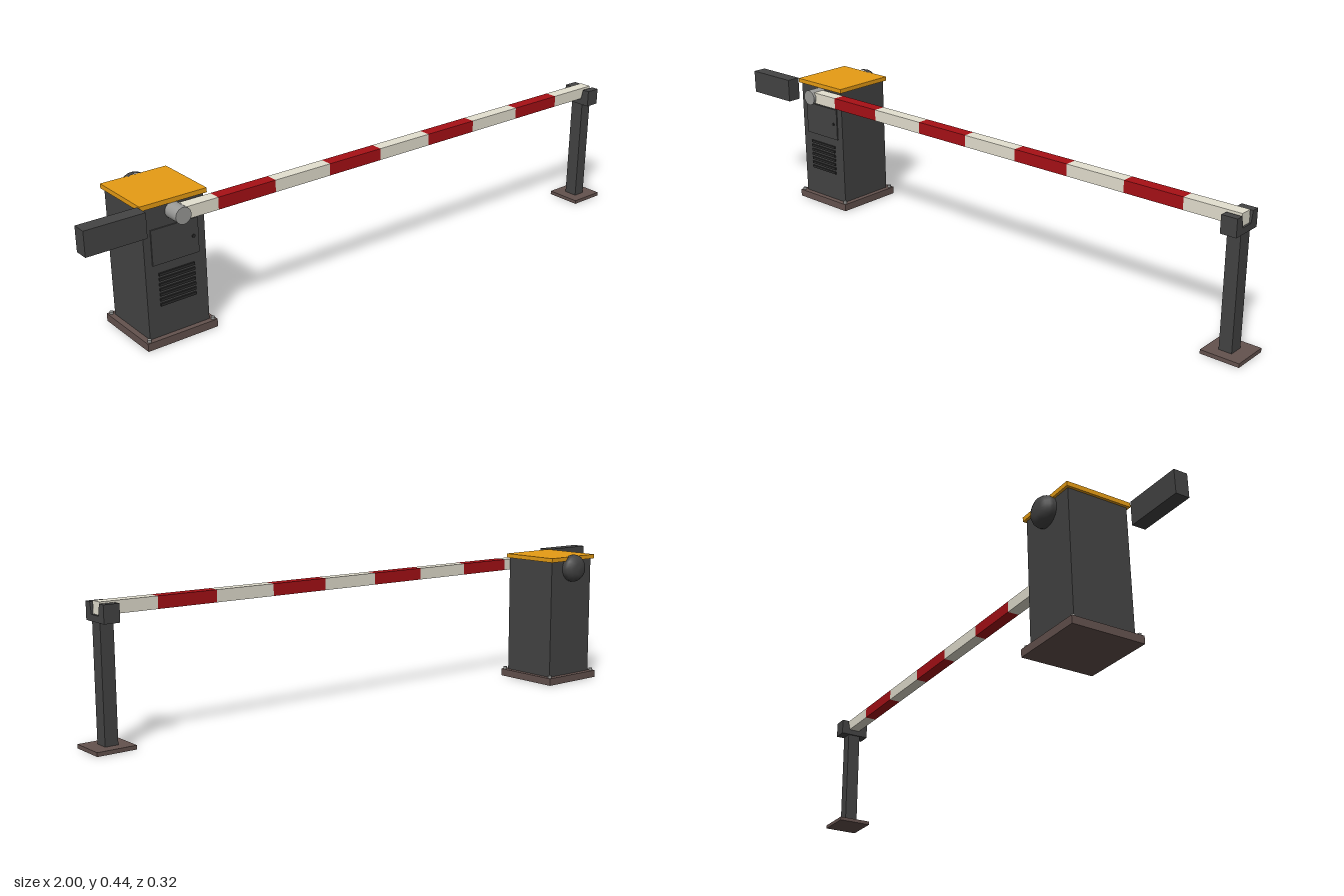
import * as THREE from 'three';

const mat = (name, color) => {
  const m = new THREE.MeshStandardMaterial({ color });
  m.name = name;
  return m;
};

export function createModel() {
  const dark = mat('charcoal paint', 0x444444);
  const black = mat('vent black', 0x2a2a2a);
  const amber = mat('amber lid', 0xeca015);
  const white = mat('off white', 0xe4e0d0);
  const red = mat('signal red', 0xa81016);
  const steel = mat('steel', 0x9a9a98);
  const brown = mat('brown base', 0x64524e);

  const root = new THREE.Group();
  root.name = 'barrierGate';
  const add = (parent, name, geo, m, x = 0, y = 0, z = 0) => {
    const mesh = new THREE.Mesh(geo, m);
    mesh.name = name;
    mesh.position.set(x, y, z);
    parent.add(mesh);
    return mesh;
  };
  // box given by its minimum and maximum corners
  const box = (parent, name, m, x0, x1, y0, y1, z0, z1) =>
    add(parent, name, new THREE.BoxGeometry(x1 - x0, y1 - y0, z1 - z0), m,
      (x0 + x1) / 2, (y0 + y1) / 2, (z0 + z1) / 2);
  const group = (name) => {
    const g = new THREE.Group();
    g.name = name;
    root.add(g);
    return g;
  };

  // motor cabinet
  const cx = -0.706;
  const cabinet = group('cabinet');
  box(cabinet, 'cabinetBase', brown, cx - 0.115, cx + 0.115, 0, 0.024, -0.14, 0.092);
  box(cabinet, 'cabinetBody', dark, cx - 0.098, cx + 0.098, 0.024, 0.419, -0.121, 0.075);
  box(cabinet, 'cabinetLid', amber, cx - 0.106, cx + 0.106, 0.419, 0.433, -0.129, 0.083);
  box(cabinet, 'accessPanel', dark, cx - 0.075, cx + 0.075, 0.246, 0.353, 0.075, 0.079);
  add(cabinet, 'panelLock', new THREE.CylinderGeometry(0.005, 0.005, 0.004, 12), black,
    cx + 0.058, 0.3, 0.08).rotation.x = Math.PI / 2;
  for (let i = 0; i < 7; i++) {
    const y = 0.122 + i * 0.0155;
    box(cabinet, 'ventSlat', black, cx - 0.058, cx + 0.058, y - 0.004, y + 0.004, 0.075, 0.08);
  }
  for (const sx of [-1, 1]) for (const z of [-0.129, 0.083])
    add(cabinet, 'anchorBolt', new THREE.CylinderGeometry(0.006, 0.006, 0.008, 8), steel,
      cx + sx * 0.105, 0.028, z);

  // domed sounder on the back
  const dome = [[0, 0.039], [0.021, 0.038], [0.036, 0.031], [0.044, 0.02], [0.0465, 0.011], [0.0455, 0]]
    .reverse().map(([r, h]) => new THREE.Vector2(r, h));
  add(cabinet, 'sounderDome', new THREE.LatheGeometry(dome, 20), dark, cx, 0.393, -0.121)
    .rotation.x = -Math.PI / 2;

  // boom with alternating bands
  const boom = group('boom');
  const edges = [-0.7, -0.588, -0.394, -0.197, -0.002, 0.195, 0.388, 0.586, 0.778, 0.955];
  for (let i = 0; i < edges.length - 1; i++)
    box(boom, i % 2 ? 'redBand' : 'whiteBand', i % 2 ? red : white,
      edges[i], edges[i + 1], 0.376, 0.413, 0.082, 0.121);
  add(boom, 'pivotHub', new THREE.CylinderGeometry(0.025, 0.025, 0.055, 20), steel, cx, 0.394, 0.1025)
    .rotation.x = Math.PI / 2;
  box(boom, 'counterweight', dark, -1, -0.817, 0.358, 0.433, 0.08, 0.125);

  // rest post with a notched cradle
  const rest = group('restPost');
  box(rest, 'postBase', brown, 0.88, 1, 0, 0.012, 0.043, 0.159);
  box(rest, 'post', dark, 0.917, 0.957, 0.012, 0.356, 0.08, 0.125);
  const cradle = new THREE.Shape([
    [-0.051, 0.356], [0.051, 0.356], [0.051, 0.409], [0.027, 0.409],
    [0.02, 0.375], [-0.02, 0.375], [-0.027, 0.409], [-0.051, 0.409],
  ].map(([x, y]) => new THREE.Vector2(x, y)));
  add(rest, 'cradle', new THREE.ExtrudeGeometry(cradle, { depth: 0.048, bevelEnabled: false }), dark,
    0.912, 0, 0.102).rotation.y = Math.PI / 2;

  return root;
}
